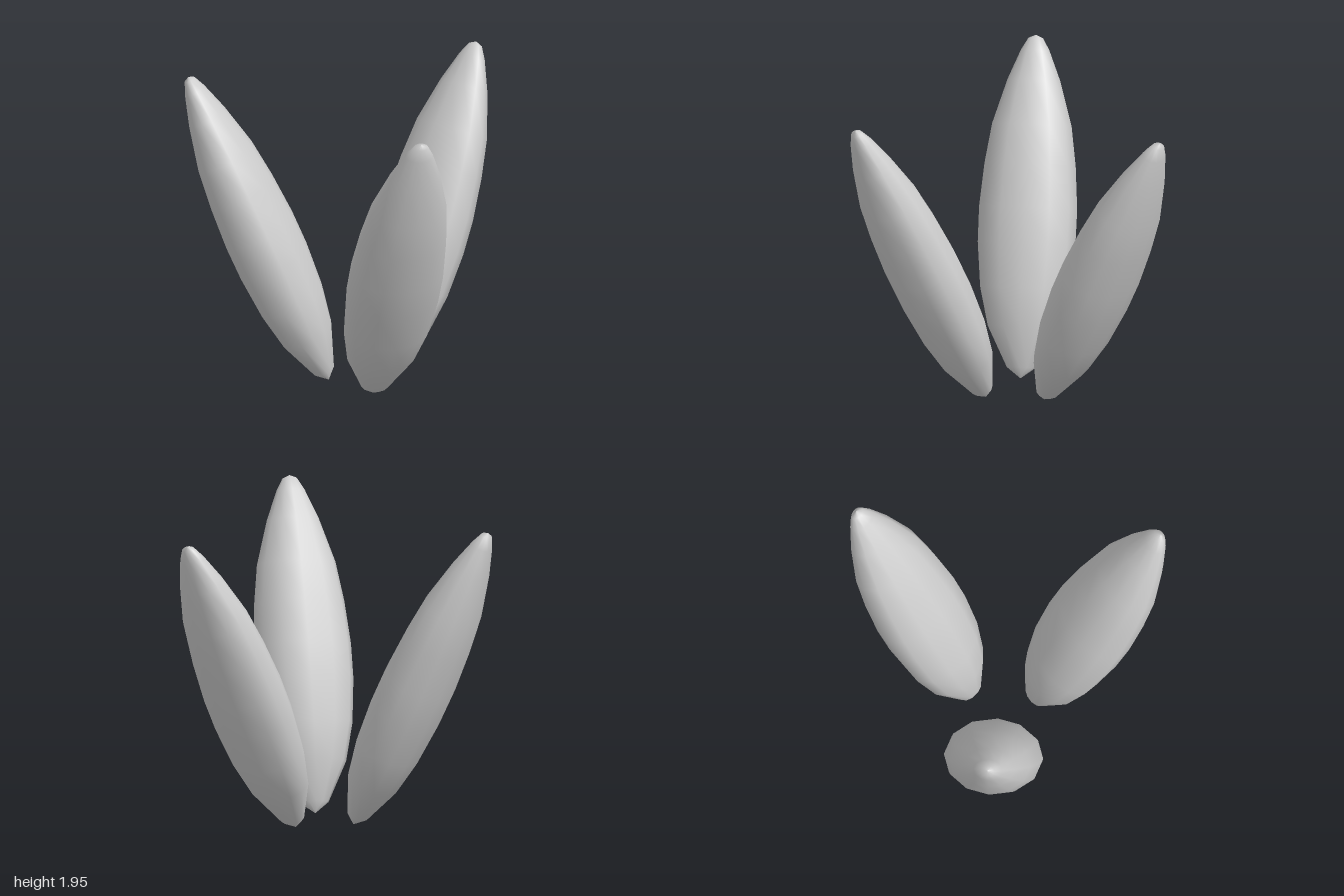
import * as THREE from 'three';

// Petal outline: relative radius and distance along its axis
const PROFILE = [
  [0, 0], [0.29, 0.067], [0.715, 0.32], [0.905, 0.56], [0.995, 0.84], [1, 1.06],
  [0.93, 1.33], [0.81, 1.58], [0.535, 1.86], [0.29, 2.045], [0.15, 2.12], [0, 2.14],
];
const HALF_WIDTH = 0.307;
const HALF_DEPTH = 0.227;
const LEAN = 0.428;

// Plump pointed body, flattened and leaning outward from its base
function petalGeometry() {
  const points = PROFILE.map(([r, t]) => new THREE.Vector2(r, t));
  const geometry = new THREE.LatheGeometry(points, 12);
  geometry.scale(HALF_WIDTH, 1, HALF_DEPTH);
  geometry.rotateX(LEAN);
  geometry.translate(0, 0.005, 0.21);
  return geometry;
}

export function createModel() {
  const model = new THREE.Group();
  model.name = 'petalCluster';
  const material = new THREE.MeshStandardMaterial({ color: 0xcccccc });
  const geometry = petalGeometry();

  // Three petals evenly spaced around a shared centre
  ['frontPetal', 'backLeftPetal', 'backRightPetal'].forEach((name, i) => {
    const petal = new THREE.Mesh(geometry, material);
    petal.name = name;
    petal.position.z = -0.23;
    petal.rotation.y = (i * Math.PI * 2) / 3;
    model.add(petal);
  });
  return model;
}
